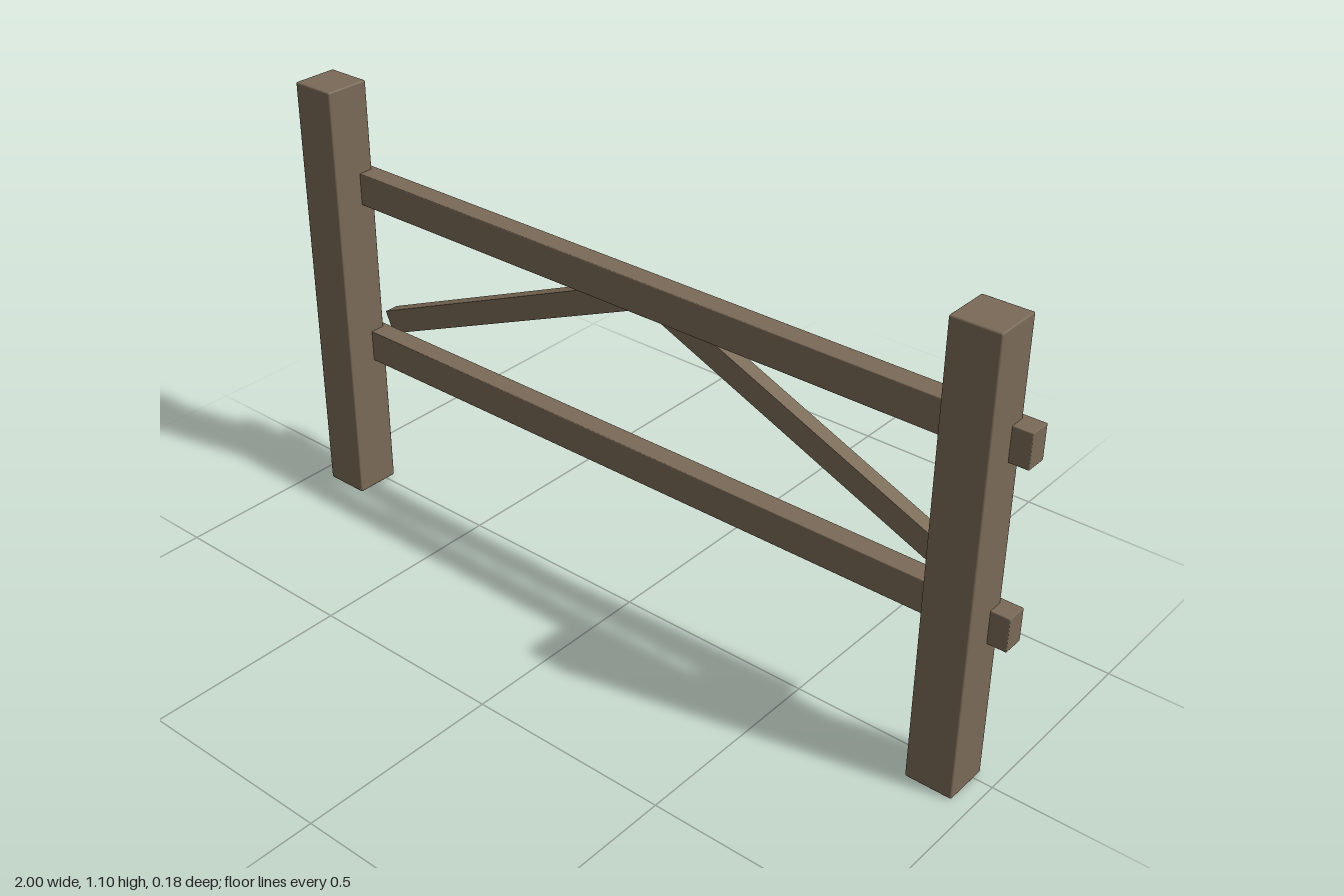
import * as THREE from 'three';
import { RoundedBoxGeometry } from 'three/addons/geometries/RoundedBoxGeometry.js';

export function createModel() {
  const fence = new THREE.Group();
  fence.name = 'fence';
  const wood = new THREE.MeshStandardMaterial({ color: 0x7a6a57 });
  wood.name = 'weathered wood';

  // Timber with slightly chamfered edges
  function timber(name, [w, h, d], [x, y, z], bevel) {
    const geometry = bevel
      ? new RoundedBoxGeometry(w, h, d, 1, bevel)
      : new THREE.BoxGeometry(w, h, d);
    const mesh = new THREE.Mesh(geometry, wood);
    mesh.name = name;
    mesh.position.set(x, y, z);
    fence.add(mesh);
    return mesh;
  }

  // Two horizontal rails behind the posts
  timber('lowerRail', [2, 0.082, 0.053], [0, 0.402, -0.0135], 0.002);
  timber('upperRail', [2, 0.082, 0.053], [0, 0.831, -0.0135], 0.002);

  // Posts and diagonal braces, mirrored left and right
  for (const [side, s] of [['left', 1], ['right', -1]]) {
    timber(side + 'Post', [0.115, 1.098, 0.115], [s * 0.8975, 0.549, 0.031], 0.004);
    const brace = timber(side + 'Brace', [0.918, 0.06, 0.037], [s * 0.4205, 0.6215, -0.0695]);
    brace.rotation.z = -s * Math.atan(0.423);
  }
  return fence;
}
